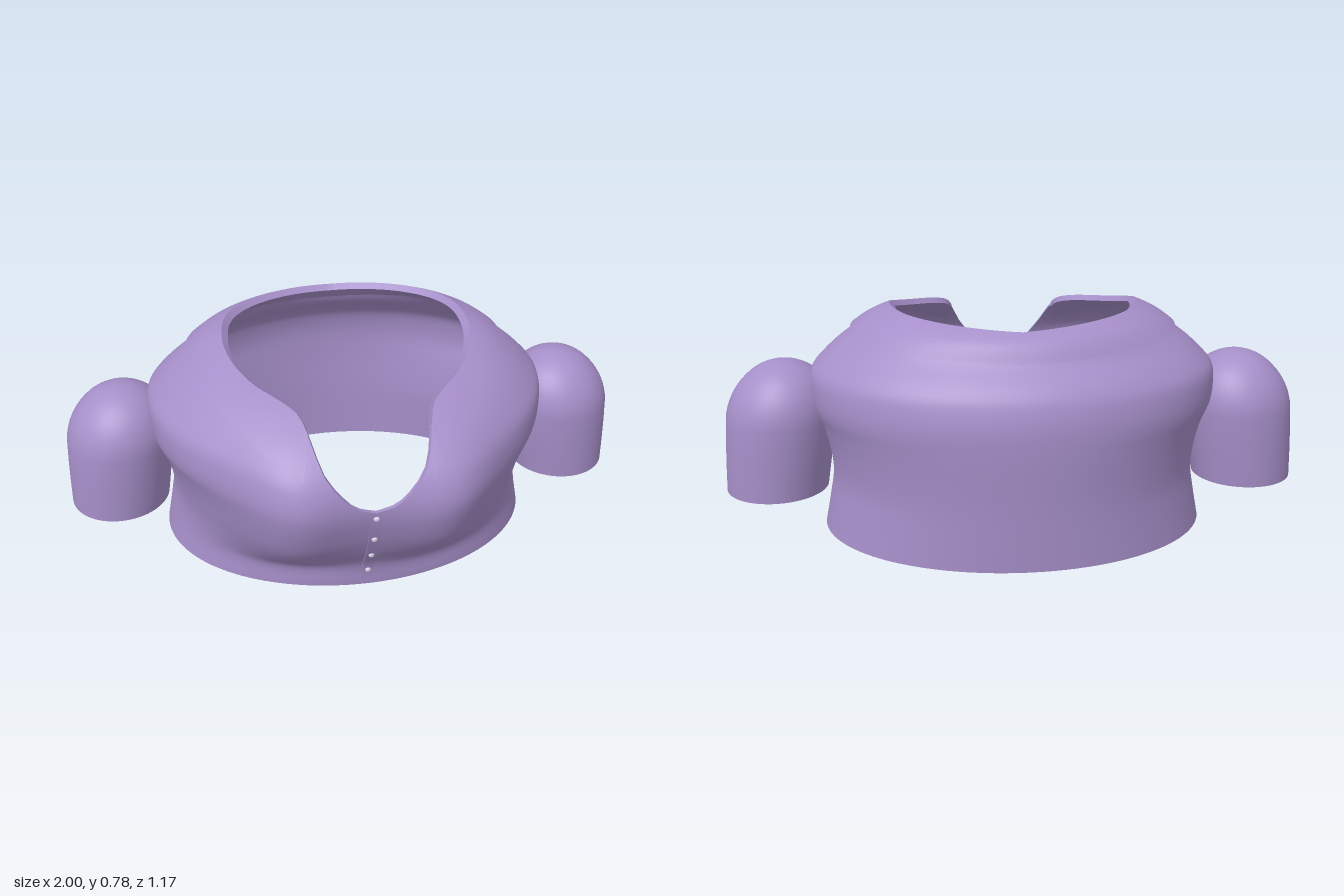
import * as THREE from 'three';
import { toCreasedNormals } from 'three/addons/utils/BufferGeometryUtils.js';

const lilac = new THREE.MeshStandardMaterial({ color: 0xa68fc9, side: THREE.DoubleSide });
const pale = new THREE.MeshStandardMaterial({ color: 0xd8d0e8 });

// Smooth curve through [key, value] pairs
function curve(pts) {
  const slope = (i) => {
    const a = pts[Math.max(i - 1, 0)], b = pts[Math.min(i + 1, pts.length - 1)];
    return (b[1] - a[1]) / (b[0] - a[0]);
  };
  return (x) => {
    if (x <= pts[0][0]) return pts[0][1];
    for (let i = 0; i < pts.length - 1; i++) {
      const [x0, y0] = pts[i], [x1, y1] = pts[i + 1];
      if (x > x1) continue;
      const h = x1 - x0, t = (x - x0) / h, s = 1 - t;
      return y0 * (1 + 2 * t) * s * s + slope(i) * h * t * s * s
        + y1 * t * t * (3 - 2 * t) - slope(i + 1) * h * t * t * s;
    }
    return pts[pts.length - 1][1];
  };
}

// Torso cross-section by height: half width, front, back and bust depth
const halfWidth = curve([[0, .665], [.1, .645], [.2, .63], [.3, .64], [.38, .662], [.44, .688], [.5, .695],
  [.56, .688], [.6, .655], [.65, .6], [.7, .53], [.74, .475], [.775, .41], [.8, .36]]);
const frontZ = curve([[0, .4], [.1, .415], [.2, .47], [.3, .515], [.42, .545], [.53, .53], [.6, .485],
  [.65, .43], [.7, .35], [.73, .27], [.775, .12], [.8, .05]]);
const backZ = curve([[0, -.57], [.2, -.577], [.45, -.587], [.55, -.57], [.6, -.54], [.66, -.482],
  [.72, -.45], [.745, -.42], [.78, -.36]]);
const bust = curve([[0, 0], [.09, 0], [.14, .025], [.25, .065], [.42, .075], [.5, .07], [.6, .05], [.66, .03], [.73, 0]]);

// Neckline and lower collar edge by angle from the front
const neckY = curve([[0, .42], [.1, .45], [.2, .53], [.33, .65], [.43, .69], [.75, .72], [1.2, .757],
  [1.57, .773], [2.3, .765], [Math.PI, .745]]);
const collarY = curve([[.33, .56], [.5, .6], [.8, .655], [1.2, .69], [1.57, .7], [2.2, .69], [Math.PI, .665]]);
const fold = (angle) => (angle > Math.PI ? 2 * Math.PI - angle : angle);

// Point on the torso, moved outward by out and up by lift
function torso(angle, y, out = 0, lift = 0) {
  const c = Math.cos(angle), mid = -.08;
  const x = (halfWidth(y) + out) * Math.sin(angle);
  let z = mid + (c > 0 ? frontZ(y) - mid + out : mid - backZ(y) + out) * c;
  if (c > 0) z += bust(y) * Math.exp(-(((Math.abs(x) - .27) / .16) ** 2)) * Math.min(1, c * 3);
  return [x, y + lift, z];
}

// Skin over a row of closed loops
function loft(loops, closed) {
  const n = loops[0].length, m = loops.length, index = [];
  for (let i = 0; i < (closed ? m : m - 1); i++) {
    for (let j = 0; j < n; j++) {
      const k = (i + 1) % m, l = (j + 1) % n;
      const a = i * n + j, b = k * n + j, c = k * n + l, d = i * n + l;
      index.push(a, b, c, a, c, d);
    }
  }
  const g = new THREE.BufferGeometry();
  g.setAttribute('position', new THREE.Float32BufferAttribute(loops.flat(2), 3));
  g.setIndex(index);
  return toCreasedNormals(g, .7);
}

function add(parent, name, geometry, material = lilac) {
  const mesh = new THREE.Mesh(geometry, material);
  mesh.name = name;
  parent.add(mesh);
  return mesh;
}

// Bodice: outer face up, inner face down
function bodice() {
  const loops = [], cols = 160, rows = 56;
  for (let i = 0; i < cols; i++) {
    const angle = (i / cols) * Math.PI * 2, top = neckY(fold(angle));
    const ys = Array.from({ length: rows + 1 }, (_, j) => top * (1 - (1 - j / rows) ** 1.4));
    const outer = ys.map((y) => torso(angle, y));
    const inner = ys.map((y) => torso(angle, y, -.013, y > .5 ? -.01 * Math.min(1, (y - .5) * 5) : 0)).reverse();
    loops.push([...outer, ...inner]);
  }
  return loft(loops, true);
}

// Collar: a raised band along the neckline that thins out at the front
function collar() {
  const loops = [], cols = 140, rows = 14, start = .33;
  for (let i = 0; i <= cols; i++) {
    const angle = start + (i / cols) * (Math.PI * 2 - 2 * start), f = fold(angle);
    const low = collarY(f), top = neckY(f);
    const puff = .004 + .018 * THREE.MathUtils.smoothstep(f, .35, 1);
    const loop = [torso(angle, low, -.008)];
    for (let j = 0; j <= rows; j++) {
      const t = j / rows;
      loop.push(torso(angle, low + (top - low) * t, puff * (1 - .8 * t * t), .005 * t));
    }
    loop.push(torso(angle, top, -.016, -.012));
    loops.push(loop);
  }
  return loft(loops, false);
}

// Sleeve: hollow domed cap, leaning slightly outward toward the hem
function sleeve() {
  const dome = (r, h) => Array.from({ length: 15 }, (_, i) => {
    const a = (i / 14) * Math.PI / 2;
    return new THREE.Vector2(r * Math.cos(a), .39 + h * Math.sin(a));
  });
  const outer = [new THREE.Vector2(.174, .135), new THREE.Vector2(.179, .22), new THREE.Vector2(.183, .31), ...dome(.185, .2)];
  const inner = [...dome(.172, .187).reverse(), new THREE.Vector2(.162, .135)];
  const g = new THREE.LatheGeometry([...outer, ...inner, outer[0]], 56);
  const p = g.attributes.position;
  for (let i = 0; i < p.count; i++) {
    p.setXYZ(i, p.getX(i) + .785 + .04 * Math.max(0, 1 - (p.getY(i) - .135) / .4), p.getY(i), p.getZ(i) - .088);
  }
  return toCreasedNormals(g, .7);
}

// Button strip: a thin bar that follows the centre front
function placket() {
  const loops = [], w = .019;
  for (let i = 0; i <= 32; i++) {
    const y = .415 - (i / 32) * .395, z = frontZ(y);
    loops.push([[-w, y, z - .01], [-w, y, z + .01], [w, y, z + .01], [w, y, z - .01]]);
  }
  return loft(loops, false);
}

export function createModel() {
  const model = new THREE.Group();
  model.name = 'croppedJacket';
  add(model, 'bodice', bodice());
  add(model, 'collar', collar());
  add(model, 'buttonPlacket', placket());

  const left = sleeve();
  add(model, 'leftSleeve', left);
  add(model, 'rightSleeve', left).scale.x = -1;

  // Buttons
  for (const y of [.08, .19, .295, .4]) {
    const button = add(model, 'button', new THREE.SphereGeometry(.01, 16, 10), pale);
    button.position.set(0, y, frontZ(y) + .011);
    button.scale.z = .7;
  }
  return model;
}
